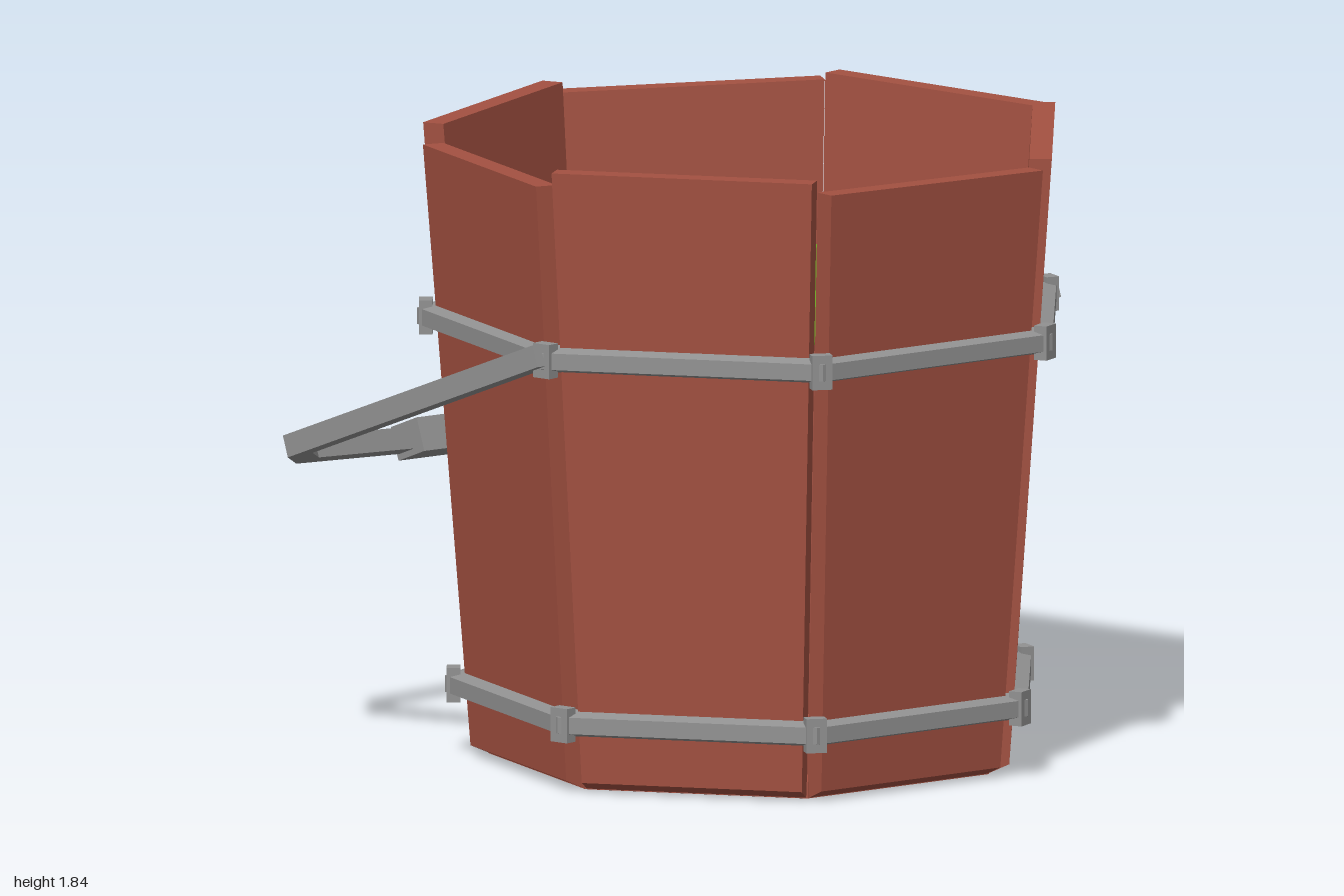
import * as THREE from 'three';
import { ConvexGeometry } from 'three/addons/geometries/ConvexGeometry.js';

const SIDES = 7, CX = 0.11, CZ = -0.06;

// Corner k of the seven-sided ring; corner 0 points to -x, counting towards +z
function corner(k, r, y) {
  const a = Math.PI - (k / SIDES) * Math.PI * 2;
  return new THREE.Vector3(CX + r * Math.cos(a), y, CZ + r * Math.sin(a));
}

export function createModel() {
  const group = new THREE.Group();
  const wood = new THREE.MeshStandardMaterial({ color: 0xa35141 });
  wood.name = 'redBrownWood';
  const metal = new THREE.MeshStandardMaterial({ color: 0x919191 });
  metal.name = 'greyMetal';
  const green = new THREE.MeshStandardMaterial({ color: 0x6aa722 });
  green.name = 'greenLiquid';

  function add(name, geometry, material) {
    const mesh = new THREE.Mesh(geometry, material);
    mesh.name = name;
    group.add(mesh);
    return mesh;
  }
  const hull = (name, points, material) => add(name, new ConvexGeometry(points), material);

  // Staves: tapered planks with uneven tops and a small groove at each corner
  const tops = [[1.84, 1.84], [1.785, 1.785], [1.83, 1.83], [1.795, 1.785],
    [1.81, 1.84], [1.83, 1.84], [1.82, 1.81]];
  const gap = 0.032;
  tops.forEach(([ya, yb], k) => {
    const points = [];
    const edge = (r, y0, y1, inset) => {
      const a = corner(k, r, y0), b = corner(k + 1, r, y1);
      const d = b.clone().sub(a).setY(0).normalize().multiplyScalar(inset);
      points.push(a.add(d), b.sub(d));
    };
    edge(0.825, 0.03, 0.03, gap);
    edge(0.75, 0, 0, 0.001);
    edge(0.962, ya, yb, gap);
    edge(0.89, ya, yb, 0.001);
    hull('stave', points, wood);
  });

  // Floor and liquid surface
  const ring = (r, y) => Array.from({ length: SIDES }, (_, k) => corner(k, r, y));
  hull('floor', [...ring(0.76, 0.002), ...ring(0.76, 0.05)], wood);
  hull('liquid', [...ring(0.84, 1.34), ...ring(0.84, 1.348)], green);

  // Hoops: bevelled bars along each side, with a small knuckle on each corner
  for (const [y, r] of [[1.28, 0.965], [0.205, 0.885]]) {
    for (let k = 0; k < SIDES; k++) {
      const points = [];
      for (const j of [k, k + 1]) {
        for (const s of [-1, 1]) {
          points.push(corner(j, r - 0.06, y + s * 0.04), corner(j, r, y + s * 0.024));
        }
      }
      hull('hoop', points, metal);
      const knuckle = add('hoopKnuckle', new THREE.BoxGeometry(0.04, 0.1, 0.06), metal);
      knuckle.position.copy(corner(k, r - 0.025, y));
      knuckle.rotation.y = Math.PI + (k / SIDES) * Math.PI * 2;
    }
  }

  // Handle: a mitred square bar in a tilted plane; paths are [x, z]
  const slope = 0.38, along = Math.hypot(1, slope);
  const normal = new THREE.Vector3(-slope, 1, 0).normalize();
  function bar(name, path, width, thick) {
    const flat = path.map(([x, z]) => new THREE.Vector2(x * along, z));
    const sections = flat.map((p, i) => {
      const t0 = p.clone().sub(flat[Math.max(i - 1, 0)]).normalize();
      const t1 = flat[Math.min(i + 1, flat.length - 1)].clone().sub(p).normalize();
      const t = t0.clone().add(t1).normalize();
      const cos = t.dot(t1.lengthSq() ? t1 : t0);
      const out = [];
      for (const s of [-1, 1]) {
        const u = p.x - t.y * s * width / 2 / cos;
        const z = p.y + t.x * s * width / 2 / cos;
        const x = u / along;
        for (const h of [-1, 1]) {
          out.push(new THREE.Vector3(x, 1.29 + slope * (x - 0.31), z)
            .addScaledVector(normal, h * thick / 2));
        }
      }
      return out;
    });
    for (let i = 0; i + 1 < sections.length; i++) {
      hull(name, [...sections[i], ...sections[i + 1]], metal);
    }
  }
  bar('handle', [[0.33, -0.97], [-0.71, -0.97], [-0.83, -0.85], [-0.905, -0.42], [-0.915, 0],
    [-0.905, 0.42], [-0.83, 0.84], [-0.71, 0.96], [0.33, 0.87]], 0.07, 0.065);
  bar('grip', [[-0.89, -0.43], [-0.9, 0], [-0.89, 0.42]], 0.125, 0.1);

  return group;
}
